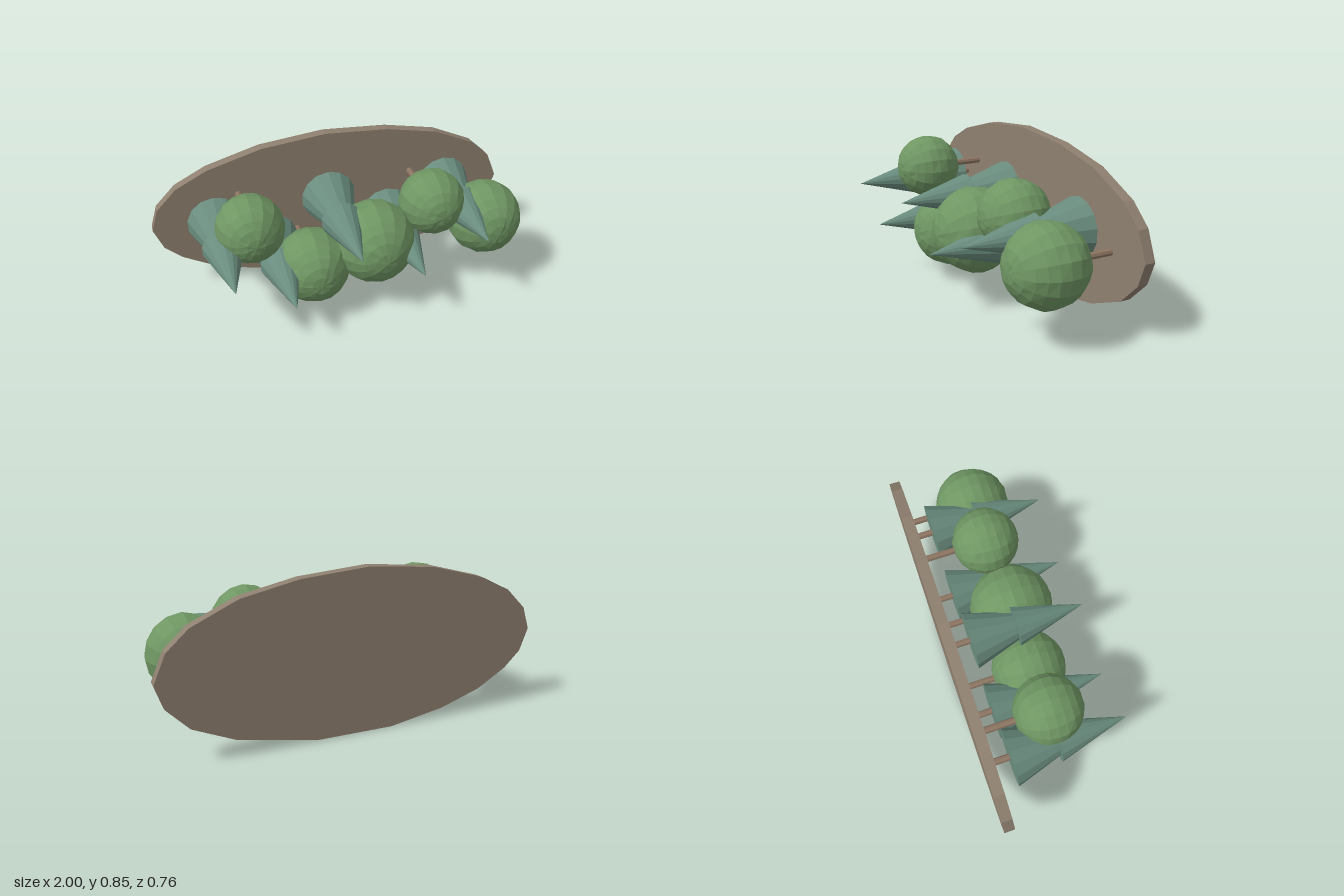
import * as THREE from 'three';

const mat = (name, color) => {
  const m = new THREE.MeshStandardMaterial({ color, flatShading: true });
  m.name = name;
  return m;
};

// Every tree grows along +z out of the upright ground slab
const GROUND_FRONT = -0.325;
const GROUND_BACK = -0.38;

export function createModel() {
  const model = new THREE.Group();
  const earth = mat('earth', 0x8f8070);
  const bark = mat('bark', 0x8d7562);
  const leaf = mat('leaf green', 0x6f9663);
  const pine = mat('pine green', 0x698c7e);

  const add = (parent, name, geometry, material) => {
    const mesh = new THREE.Mesh(geometry, material);
    mesh.name = name;
    parent.add(mesh);
    return mesh;
  };

  // Ground slab: an uneven oval outline
  const outline = [
    [-0.04, 0.85], [-0.39, 0.815], [-0.68, 0.735], [-0.85, 0.65], [-0.96, 0.54],
    [-1, 0.42], [-0.955, 0.3], [-0.865, 0.215], [-0.7, 0.12], [-0.48, 0.05],
    [-0.18, 0], [0.22, 0.005], [0.64, 0.09], [0.85, 0.185], [0.96, 0.3],
    [1, 0.42], [0.94, 0.56], [0.83, 0.66], [0.6, 0.765], [0.31, 0.825],
  ].map(([x, y]) => new THREE.Vector2(x, y));
  const slab = new THREE.ExtrudeGeometry(new THREE.Shape(outline), {
    depth: GROUND_FRONT - GROUND_BACK, bevelEnabled: false,
  });
  add(model, 'ground', slab.translate(0, 0, GROUND_BACK), earth);

  // Trunk from the slab to a given depth
  const trunk = (tree, endZ) => {
    const length = endZ - GROUND_FRONT + 0.01;
    const g = new THREE.CylinderGeometry(0.018, 0.018, length, 8);
    g.rotateX(Math.PI / 2).translate(0, 0, endZ - length / 2);
    add(tree, 'trunk', g, bark);
  };

  // Slightly uneven ball of leaves, poles along z
  const crown = (radius, seed) => {
    const g = new THREE.SphereGeometry(radius, 16, 12);
    g.rotateX(Math.PI / 2).rotateZ(Math.PI);
    const p = g.attributes.position;
    const v = new THREE.Vector3();
    for (let i = 0; i < p.count; i++) {
      v.fromBufferAttribute(p, i);
      const [a, b, c] = v.toArray().map((n) => Math.round((n / radius) * 1000));
      const h = Math.sin(a * 12.9898 + b * 78.233 + c * 37.719 + seed) * 43758.5453;
      v.multiplyScalar(0.985 + 0.025 * (h - Math.floor(h)));
      p.setXYZ(i, v.x, v.y, v.z);
    }
    g.computeVertexNormals();
    return g;
  };

  // Round trees: x, y, z, radius
  [
    [-0.527, 0.567, 0.01, 0.177],
    [-0.215, 0.28, 0.025, 0.201],
    [0.117, 0.375, 0.04, 0.224],
    [0.45, 0.543, 0.01, 0.177],
    [0.76, 0.4, 0.029, 0.204],
  ].forEach(([x, y, z, r], i) => {
    const tree = new THREE.Group();
    tree.name = 'roundTree' + (i + 1);
    tree.position.set(x, y, 0);
    trunk(tree, z - r + 0.05);
    add(tree, 'crown', crown(r, i), leaf).position.z = z;
    model.add(tree);
  });

  // Pine trees: two stacked cones
  const tier = (tree, name, radius, height, baseZ) => {
    const g = new THREE.ConeGeometry(radius, height, 14);
    g.rotateX(Math.PI / 2).translate(0, 0, baseZ + height / 2);
    add(tree, name, g, pine);
  };
  [
    [-0.67, 0.47], [-0.385, 0.304], [-0.05, 0.517], [0.285, 0.35], [0.617, 0.493],
  ].forEach(([x, y], i) => {
    const tree = new THREE.Group();
    tree.name = 'pineTree' + (i + 1);
    tree.position.set(x, y, 0);
    trunk(tree, -0.22);
    tier(tree, 'lowerTier', 0.15, 0.48, -0.24);
    tier(tree, 'upperTier', 0.107, 0.375, 0.003);
    model.add(tree);
  });

  return model;
}
